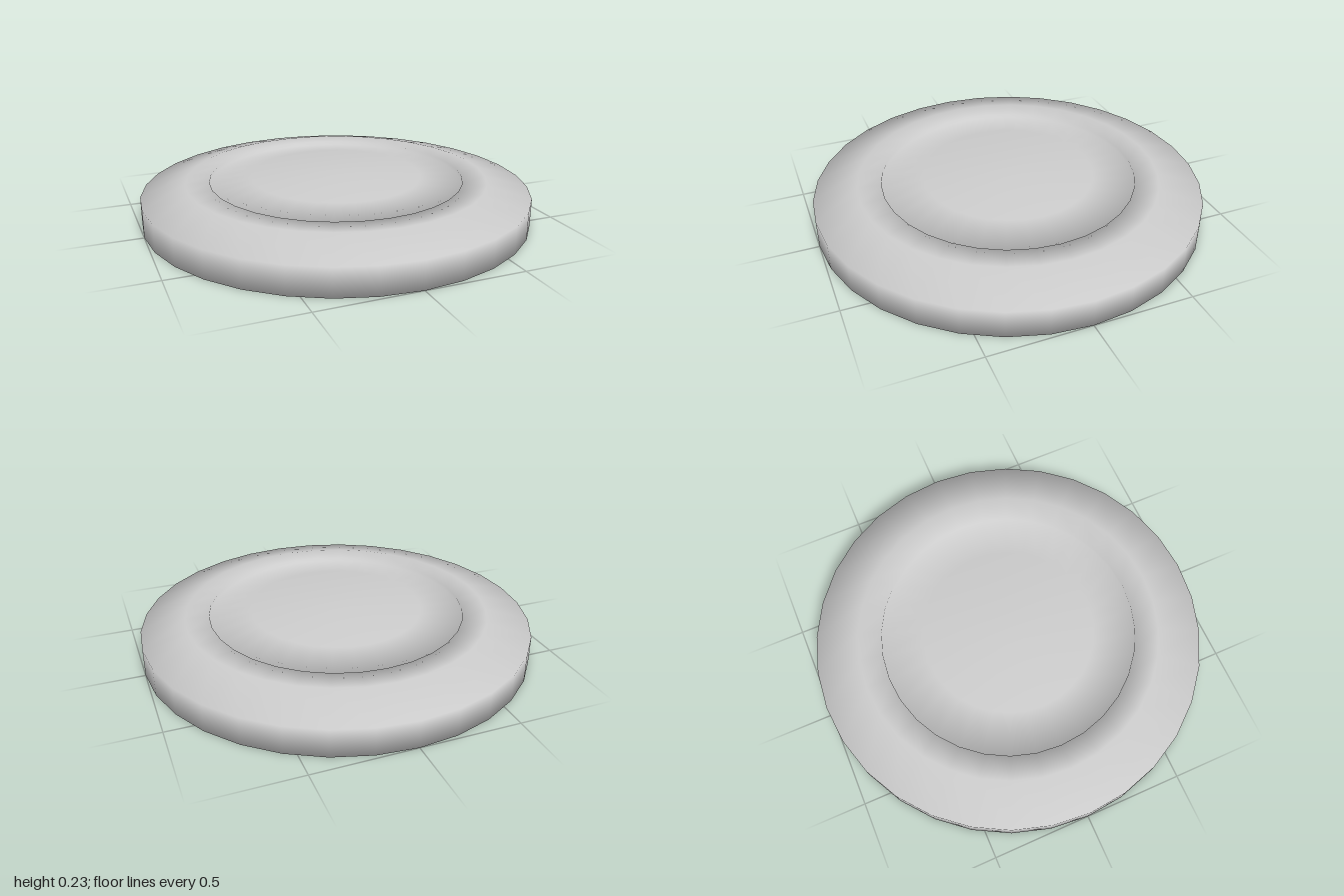
import * as THREE from 'three';

const SIDES = 32;

// Revolve a profile of [radius, height]; each ring takes the plain average of its two bands' normals
function smoothLathe(profile) {
  const pts = profile.map(([r, y]) => new THREE.Vector2(r, y));
  const bands = pts.slice(1).map((p, i) =>
    new THREE.Vector2(p.y - pts[i].y, pts[i].x - p.x).normalize());
  const normals = pts.map((p, i) => {
    const n = new THREE.Vector2();
    if (i > 0) n.add(bands[i - 1]);
    if (i < bands.length) n.add(bands[i]);
    if (p.x === 0) n.x = 0; // poles point straight up or down
    return n.normalize();
  });
  // the flat underside shades evenly from rim to rim
  normals[0].multiplyScalar(Math.abs(normals[1].y));

  const geometry = new THREE.LatheGeometry(pts, SIDES);
  const attr = geometry.attributes.normal;
  for (let s = 0; s <= SIDES; s++) {
    const a = (s / SIDES) * Math.PI * 2;
    normals.forEach((n, j) =>
      attr.setXYZ(s * pts.length + j, n.x * Math.sin(a), n.y, n.x * Math.cos(a)));
  }
  return geometry;
}

export function createModel() {
  const grey = new THREE.MeshStandardMaterial({ color: 0xcccccc });
  grey.name = 'light grey';

  const group = new THREE.Group();
  group.name = 'roundPlate';

  const disc = new THREE.Mesh(smoothLathe([
    [0, 0], [1, 0], [1, 0.14],      // underside and outer wall
    [0.775, 0.197], [0.653, 0.197], // bevel and flat rim
    [0.653, 0.177],                 // step down inside the rim
    [0.44, 0.206], [0.25, 0.222], [0.1, 0.231], [0, 0.232], // low dome
  ]), grey);
  disc.name = 'domedDisc';
  group.add(disc);

  return group;
}
